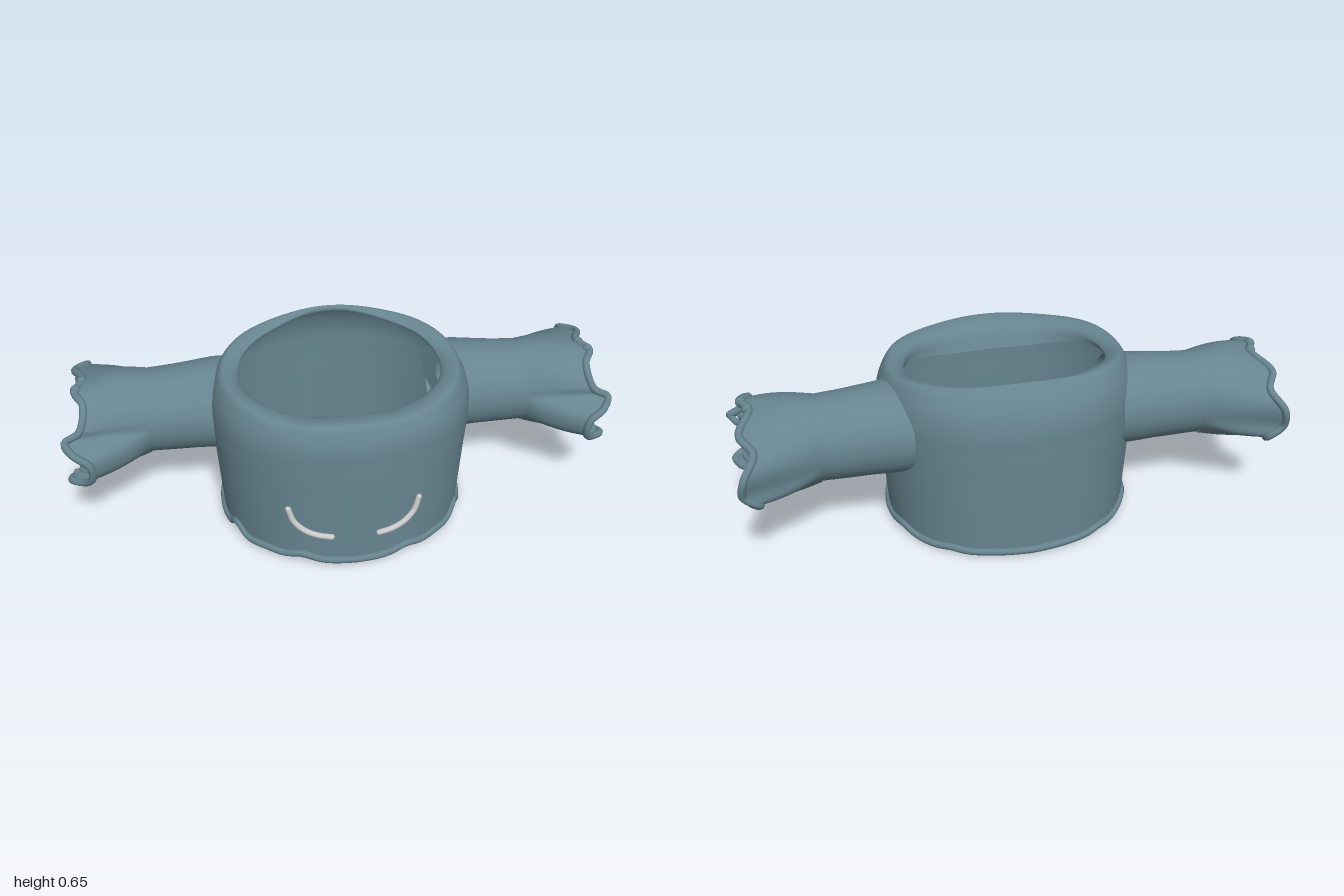
import * as THREE from 'three';

const V = (x, y, z) => new THREE.Vector3(x, y, z);
const fabric = new THREE.MeshStandardMaterial({ color: 0x66848f, side: THREE.DoubleSide });
const pale = new THREE.MeshStandardMaterial({ color: 0xcccccc });

function add(parent, name, geometry, material = fabric) {
  const mesh = new THREE.Mesh(geometry, material);
  mesh.name = name;
  parent.add(mesh);
  return mesh;
}

// Surface through closed rings of equal length; skip() leaves holes
function loft(rings, skip = () => false) {
  const n = rings[0].length, index = [];
  for (let i = 0; i < rings.length - 1; i++) {
    for (let j = 0; j < n; j++) {
      const k = (j + 1) % n;
      if (skip(rings[i][j])) continue;
      const a = i * n + j, b = i * n + k, c = a + n, d = b + n;
      index.push(a, b, d, a, d, c);
    }
  }
  const g = new THREE.BufferGeometry().setFromPoints(rings.flat());
  g.setIndex(index);
  g.computeVertexNormals();
  return g;
}

const bump = (a, centre, width) => Math.exp(-(((a - centre) / width) ** 2));

// Wavy height of the bottom edge; a = 0 is the front
function hemY(a) {
  const m = Math.abs(a);
  return 0.018 + 0.002 * Math.sin(7 * m)
    + 0.022 * bump(m, 0.42, 0.13) + 0.014 * bump(m, 0.72, 0.17)
    + 0.036 * bump(m, 1.12, 0.1) + 0.012 * bump(m, 1.95, 0.15) + 0.008 * bump(m, 2.5, 0.1);
}

// Point on the rounded body outline, scaled by s
function around(a, y, s = 1) {
  const soft = (t) => Math.sign(t) * Math.abs(t) ** 0.95;
  const rx = 0.445 + 0.025 * Math.min(1, Math.max(0, y / 0.42));
  return V(soft(Math.sin(a)) * rx * s, y, soft(Math.cos(a)) * 0.397 * s);
}

// Vertical section of the body: hem, wall, shoulder crest, turned-in neck edge
function section(a) {
  const c = Math.cos(a), back = Math.max(0, -c), front = Math.max(0, c);
  const lift = 0.05 * back ** 1.6 - 0.012 * front + 0.003 * Math.cos(6 * a);
  const crest = 0.9 - 0.11 * back ** 2;
  const rim = 0.775 - 0.01 * back ** 2 - 0.09 * front ** 2 - 0.05 * back * Math.sin(2 * a) ** 2;
  return new THREE.CatmullRomCurve3([
    around(a, hemY(a)), around(a, 0.15), around(a, 0.3), around(a, 0.42),
    around(a, 0.5, 0.993),
    around(a, 0.56 + lift * 0.45, 0.955 - (0.9 - crest) * 0.25),
    around(a, 0.6 + lift, crest),
    around(a, 0.598 + lift, crest * 0.4 + rim * 0.6),
    around(a, 0.58 + lift + 0.008 * back, rim),
    around(a, 0.57 + lift - 0.06 * front + 0.01 * back, rim + 0.005 - 0.1 * front ** 2),
  ], false, 'centripetal');
}

// Ragged cuff edge of the left sleeve
const cuffEdge = new THREE.CatmullRomCurve3([
  [0.93, 0.46, 0.09], [0.985, 0.425, 0.1], [0.955, 0.405, 0.15], [0.905, 0.37, 0.168], [0.9, 0.31, 0.162],
  [0.93, 0.27, 0.135], [0.985, 0.25, 0.085], [0.95, 0.24, 0.03], [0.9, 0.24, -0.03],
  [0.93, 0.25, -0.09], [0.91, 0.255, -0.19], [0.94, 0.27, -0.24], [0.91, 0.31, -0.32],
  [0.96, 0.36, -0.335], [0.95, 0.43, -0.345], [0.91, 0.49, -0.29], [0.95, 0.52, -0.21],
  [0.91, 0.55, -0.1], [0.94, 0.55, -0.03], [0.91, 0.53, 0.03],
].map((p) => V(...p)), true, 'centripetal');

function makeSleeve(name) {
  const sleeve = new THREE.Group();
  sleeve.name = name;
  const n = 100, edge = cuffEdge.getSpacedPoints(n).slice(0, n);
  const ring = (x, cy, ry, rz) => edge.map((p) => {
    const t = Math.atan2(p.y - 0.4, p.z + 0.09);
    return V(x, cy + Math.sin(t) * ry, -0.09 + Math.cos(t) * rz);
  });
  // Flat lip on the body wall around the armhole
  const lip = (r) => ring(0, 0.408, r, r).map((p) => {
    p.x = 0.464 * Math.sqrt(1 - (p.z / 0.397) ** 2);
    return p;
  });
  add(sleeve, 'armholeLip', loft([lip(0.106), lip(0.135), lip(0.16)]));
  // Arm, from the body wall to the cuff seam
  add(sleeve, 'arm', loft([
    [0.375, 0.415, 0.164, 0.172], [0.45, 0.415, 0.164, 0.172], [0.52, 0.412, 0.16, 0.163],
    [0.6, 0.407, 0.157, 0.155], [0.7, 0.404, 0.153, 0.151], [0.72, 0.403, 0.147, 0.145],
  ].map((r) => ring(...r))));
  // Flared cuff blends from a circle into the ragged edge, then folds inward
  const start = ring(0.695, 0.403, 0.156, 0.154);
  const cuff = [];
  for (let i = 0; i <= 10; i++) {
    const t = i / 10;
    cuff.push(start.map((p, j) => {
      const q = edge[j];
      const bulge = Math.sin(t * Math.PI) * 0.012 * Math.sign(q.y - 0.4) * Math.min(1, Math.abs(q.y - 0.4) / 0.1);
      return V(p.x + (q.x - p.x) * t, p.y + (q.y - p.y) * t + bulge, p.z + (q.z - p.z) * t ** 0.9);
    }));
  }
  add(sleeve, 'cuff', loft(cuff));
  const fold = edge.map((p, j) => {
    const s = 0.87 + 0.025 * Math.sin(j * Math.PI * 0.14);
    return V(p.x - 0.035, 0.4 + (p.y - 0.4) * s, -0.09 + (p.z + 0.09) * s);
  });
  add(sleeve, 'cuffFold', loft([edge, fold]));
  // Lining narrows from the fold to the armhole
  add(sleeve, 'lining', loft([
    fold, ring(0.8, 0.403, 0.142, 0.165), ring(0.72, 0.403, 0.138, 0.138),
    ring(0.6, 0.405, 0.132, 0.132), ring(0.48, 0.408, 0.115, 0.117), lip(0.106),
  ]));
  // Cords along the edge, the fold and the loose front flap
  add(sleeve, 'cuffTrim', new THREE.TubeGeometry(cuffEdge, 160, 0.014, 8, true));
  const foldCurve = new THREE.CatmullRomCurve3(fold, true);
  add(sleeve, 'foldTrim', new THREE.TubeGeometry(foldCurve, 160, 0.009, 6, true));
  const flap = new THREE.CatmullRomCurve3([
    V(0.985, 0.425, 0.1), V(0.96, 0.41, 0.065), V(0.92, 0.43, 0.03), V(0.88, 0.44, 0.025),
  ]);
  add(sleeve, 'flapTrim', new THREE.TubeGeometry(flap, 30, 0.012, 8));
  // Small knots on the trim
  for (const [x, y, z] of [[0.935, 0.55, -0.04], [0.915, 0.55, -0.09], [0.965, 0.245, 0.05]]) {
    add(sleeve, 'cuffKnot', new THREE.SphereGeometry(0.019, 12, 8)).position.set(x, y, z);
  }
  // Crumpled fabric on the inside of the armhole
  const crumple = add(sleeve, 'armholeCrumple', new THREE.IcosahedronGeometry(1, 2));
  crumple.position.set(0.385, 0.32, -0.025);
  crumple.scale.set(0.055, 0.032, 0.035);
  return sleeve;
}

export function createModel() {
  const model = new THREE.Group();
  model.name = 'jacket';

  // Body shell with an armhole on each side
  const n = 144, rows = 56;
  const angles = Array.from({ length: n }, (_, j) => -Math.PI + (j / n) * Math.PI * 2);
  const columns = angles.map((a) => section(a).getPoints(rows));
  const rings = Array.from({ length: rows + 1 }, (_, i) => columns.map((c) => c[i]));
  const inArmhole = (p) => Math.abs(p.x) > 0.3 && Math.hypot(p.y - 0.405, p.z + 0.09) < 0.13;
  add(model, 'body', loft(rings, inArmhole));

  // Wavy hem cord
  const hem = new THREE.CatmullRomCurve3(angles.map((a) => around(a, hemY(a))), true);
  add(model, 'hemTrim', new THREE.TubeGeometry(hem, 240, 0.014, 8, true));

  // Sleeves
  const left = makeSleeve('leftSleeve');
  const right = makeSleeve('rightSleeve');
  right.scale.x = -1;
  model.add(left, right);

  // Pale curved pocket strokes lying on the front
  for (const side of [1, -1]) {
    const points = [[0.232, 0.247], [0.215, 0.195], [0.18, 0.16], [0.135, 0.142], [0.085, 0.135]]
      .map(([x, y]) => {
        const p = around(Math.asin((x / 0.455) ** (1 / 0.95)), y, 1.01);
        return V(side * x, y, p.z);
      });
    const curve = new THREE.CatmullRomCurve3(points);
    add(model, 'pocketStroke', new THREE.TubeGeometry(curve, 32, 0.011, 8), pale);
    for (const p of [points[0], points[4]]) {
      add(model, 'pocketStrokeEnd', new THREE.SphereGeometry(0.011, 10, 8), pale).position.copy(p);
    }
  }
  return model;
}
